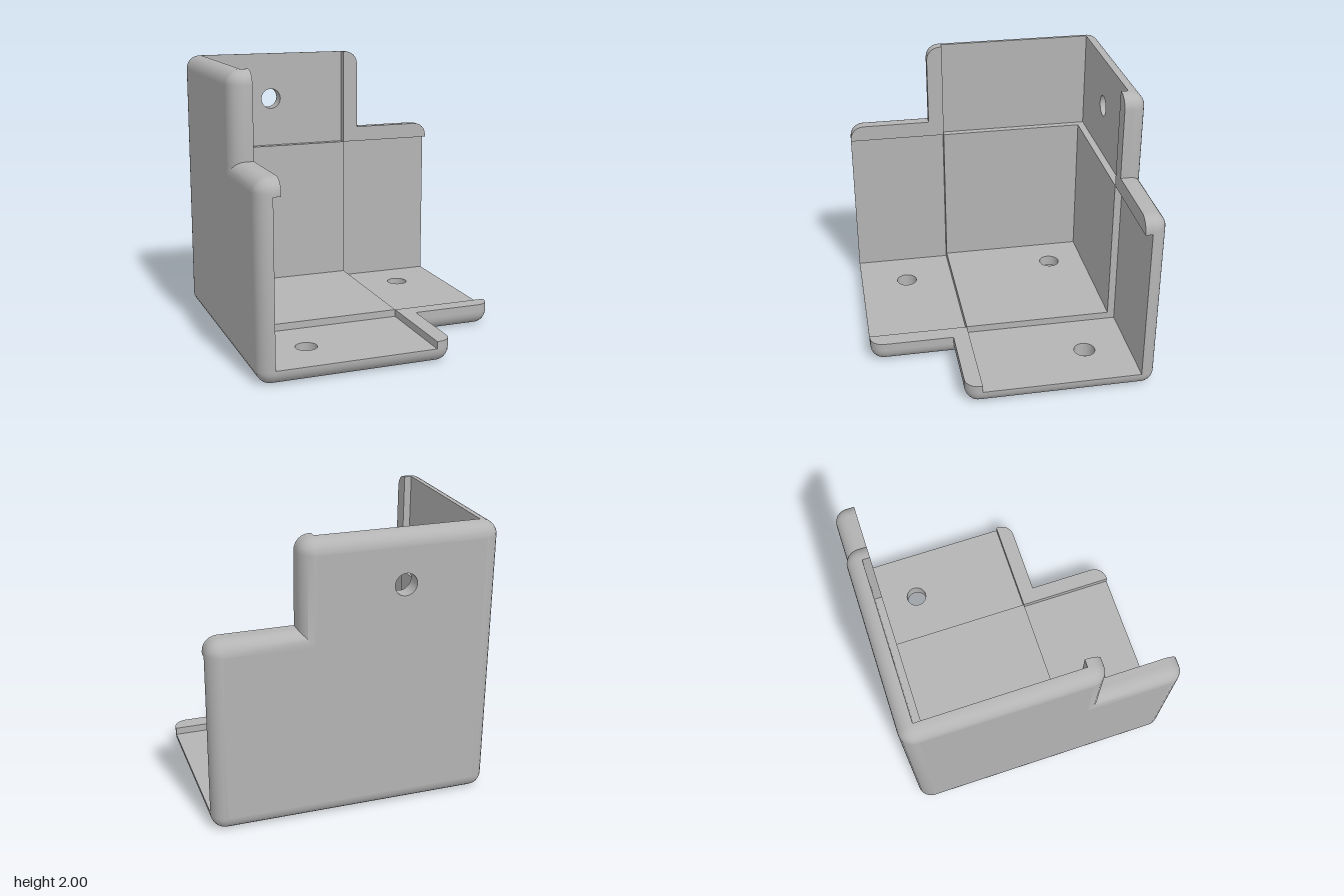
import * as THREE from 'three';
import { mergeGeometries, toCreasedNormals } from 'three/addons/utils/BufferGeometryUtils.js';

const R = 0.1;        // outer edge rounding
const ARM = 0.383;    // side edge of the arms
const LIP = 0.265;    // inner edge of the lips
const THIN = 0.11;    // wall thickness in the arms
const THICK = 0.163;  // wall thickness at the lips and the centre
const HOLE = 0.078;
const CREASE = 0.6;

const arc = (cx, cy, start, radius, steps) => Array.from({ length: steps + 1 }, (_, i) => {
  const a = start + (steps ? i / steps : 0) * Math.PI / 2;
  return new THREE.Vector2(cx + radius * Math.cos(a), cy + radius * Math.sin(a));
});

// L-shaped wall outline, inset by k, counterclockwise
function outline(k, steps = 6) {
  const q = Math.PI / 2, f = 1 - R, s = ARM - R, r = R - k;
  return [
    ...arc(-f, -f, 2 * q, r, steps),
    ...arc(f, -f, 3 * q, r, steps),
    ...arc(f, s, 0, r, steps),
    new THREE.Vector2(ARM - k, ARM - k),
    ...arc(s, f, 0, r, steps),
    ...arc(-f, f, q, r, steps),
  ];
}

// Straight slab between two depths measured from the outer face, with round holes
function slab(points, from, to, holes = []) {
  const shape = new THREE.Shape(points);
  for (const [x, y, radius] of holes) {
    const path = new THREE.Path();
    path.absarc(x, y, radius, 0, Math.PI * 2, true);
    shape.holes.push(path);
  }
  const geo = new THREE.ExtrudeGeometry(shape, { depth: to - from, bevelEnabled: false, curveSegments: 32 });
  geo.translate(0, 0, from - 1);
  geo.deleteAttribute('uv');
  return toCreasedNormals(geo, CREASE);
}

// Rounded border of a wall, swept through inset outlines
function rim() {
  const steps = 6, loops = [];
  for (let i = 0; i <= steps; i++) {
    const a = i / steps * Math.PI / 2;
    loops.push([R * (1 - Math.sin(a)), R * (1 - Math.cos(a))]);
  }
  loops.push([0, THIN], [R, THIN]);
  const pos = [], index = [], n = outline(0).length;
  for (const [inset, depth] of loops) {
    for (const p of outline(inset)) pos.push(p.x, p.y, depth - 1);
  }
  for (let l = 0; l < loops.length - 1; l++) {
    for (let i = 0; i < n; i++) {
      const a = l * n + i, b = l * n + (i + 1) % n;
      index.push(a, b, b + n, a, b + n, a + n);
    }
  }
  const geo = new THREE.BufferGeometry();
  geo.setAttribute('position', new THREE.Float32BufferAttribute(pos, 3));
  geo.setIndex(index);
  return toCreasedNormals(geo, CREASE);
}

// One wall, lying at the back; holes are [x, y, inner radius, outer radius]
function makeWall(name, holes, material) {
  const wall = new THREE.Group();
  wall.name = name;
  const add = (part, geo) => {
    const mesh = new THREE.Mesh(geo, material);
    mesh.name = part;
    wall.add(mesh);
  };
  const v = (x, y) => new THREE.Vector2(x, y);
  const core = outline(R, 0), ledge = 0.08;

  // Plate in two layers so a hole can be counterbored from outside
  add('plate', mergeGeometries([
    slab(core, 0, ledge, holes.map(([x, y, , outer]) => [x, y, outer])),
    slab(core, ledge, THIN, holes),
  ]));
  add('roundedRim', rim());

  // Thicker square where the three walls meet
  const c = THIN - 1;
  add('centrePad', slab([v(c, c), v(LIP, c), v(LIP, LIP), v(c, LIP)], THIN, THICK,
    holes.filter(([x, y]) => x < LIP && y < LIP)));

  // Raised lips along the free sides of both arms
  add('armLips', slab([
    v(LIP, LIP), v(1, LIP),
    ...arc(1 - R, ARM - R, 0, R, 6),
    v(ARM, ARM),
    ...arc(ARM - R, 1 - R, 0, R, 6).filter((p) => p.x > LIP),
    v(LIP, 1),
  ], THIN, THICK));
  return wall;
}

export function createModel() {
  const grey = new THREE.MeshStandardMaterial({ color: 0xb4b4b4, side: THREE.DoubleSide });
  grey.name = 'grey';
  const model = new THREE.Group();
  model.name = 'cornerBracket';

  const walls = [
    makeWall('backWall', [[-0.333, 0.64, HOLE, HOLE]], grey),
    makeWall('rightWall', [], grey),
    makeWall('floorWall', [
      [-0.56, -0.56, HOLE, 0.145],
      [-0.56, 0.635, HOLE, HOLE],
      [0.635, -0.56, HOLE, HOLE],
    ], grey),
  ];
  // Turn each wall about the cube diagonal so the three share one corner
  const diagonal = new THREE.Vector3(1, 1, 1).normalize();
  walls.forEach((wall, i) => {
    wall.quaternion.setFromAxisAngle(diagonal, i * Math.PI * 2 / 3);
    wall.position.y = 1;
    model.add(wall);
  });
  return model;
}
